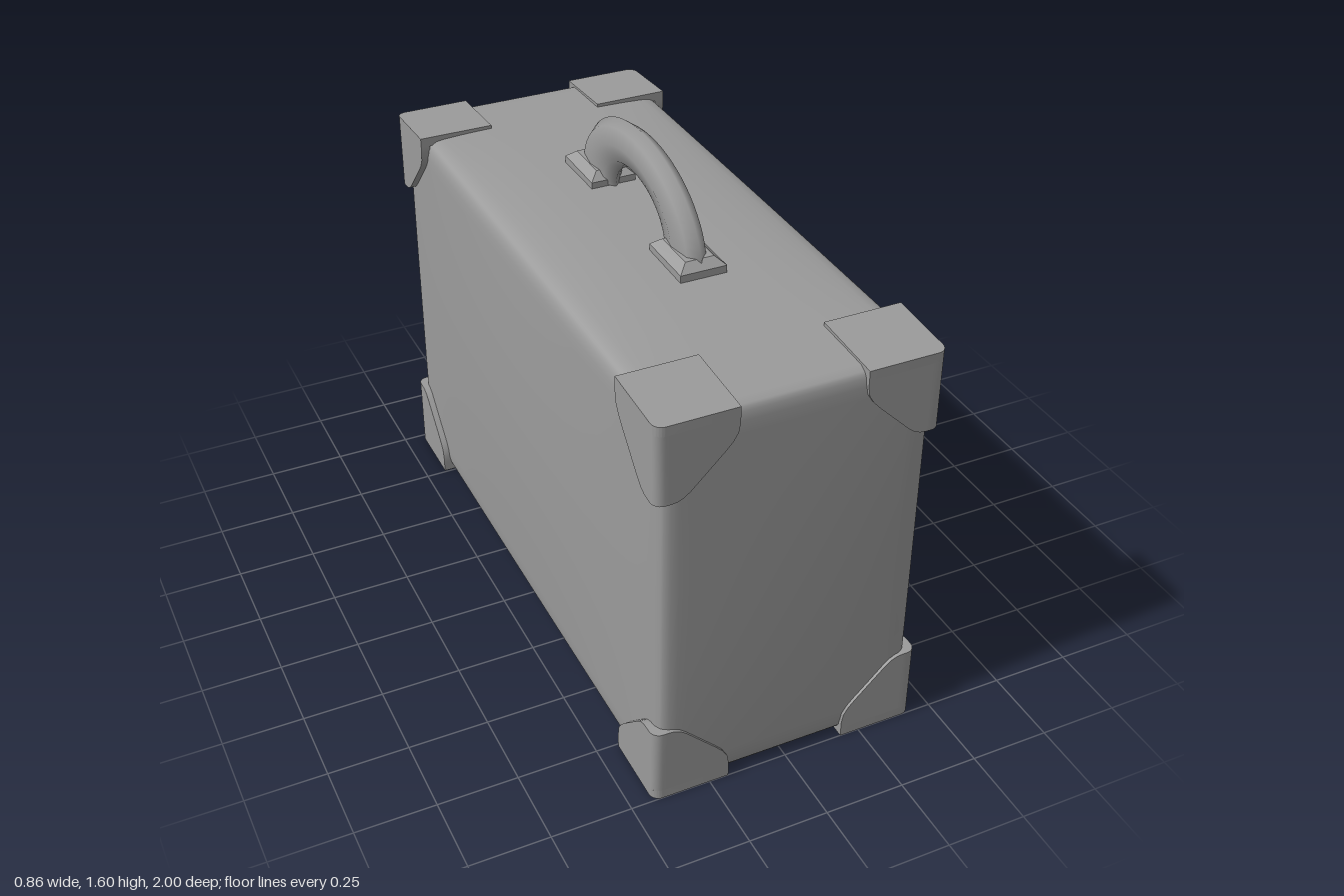
import * as THREE from 'three';
import { mergeGeometries, mergeVertices, toCreasedNormals } from 'three/addons/utils/BufferGeometryUtils.js';

const material = new THREE.MeshStandardMaterial({ color: 0x9b9b9b });
const HX = 0.432, HZ = 1, TOP = 1.31, REACH = 0.243, T = 0.03;

function add(parent, name, geometry) {
  const mesh = new THREE.Mesh(geometry, material);
  mesh.name = name;
  parent.add(mesh);
  return mesh;
}

// Move every vertex of a geometry by a rule
function warp(geometry, rule) {
  const p = geometry.attributes.position, v = new THREE.Vector3();
  for (let i = 0; i < p.count; i++) {
    rule(v.fromBufferAttribute(p, i));
    p.setXYZ(i, v.x, v.y, v.z);
  }
  return geometry;
}

// Rounded case whose faces bulge gently
function caseGeometry() {
  const N = 24, R = 0.042, half = new THREE.Vector3(0.409, 0.648, 0.988);
  const core = half.clone().subScalar(R), coreMin = core.clone().negate();
  const inner = new THREE.Vector3();
  let g = new THREE.BoxGeometry(2, 2, 2, N, N, N);
  g.deleteAttribute('uv');
  g.deleteAttribute('normal');
  warp(g, v => {
    for (const a of ['x', 'y', 'z']) v[a] = Math.sin(v[a] * Math.PI / 2) * half[a];
    inner.copy(v).clamp(coreMin, core);
    v.sub(inner).setLength(R).add(inner);
    const x = v.x / half.x, y = v.y / half.y, z = v.z / half.z;
    const bx = 1 - x * x, by = 1 - y * y, bz = 1 - z * z;
    v.x += x * 0.02 * by * bz;
    v.z += z * 0.011 * bx * by;
    v.y += 0.656 + y * (y > 0 ? 0.025 : 0.008) * bz * (1 - x ** 4);
  });
  g = mergeVertices(g);
  g.computeVertexNormals();
  return g;
}

// Corner guard in (x, z, drop) space: wall wrapped round the corner plus a flat plate
function guardGeometry() {
  const edge = [[REACH, 0.05], [0.238, 0.08], [0.223, 0.105], [0.2, 0.13], [0.105, 0.224],
    [0.085, 0.24], [0.065, 0.248], [0.045, 0.25]];
  const rings = [];
  const ring = (ox, oz, nx, nz, drop) => rings.push([
    [ox, oz, T], [ox, oz, drop], [ox - nx * T, oz - nz * T, drop], [ox - nx * T, oz - nz * T, T]]);
  for (const [d, drop] of edge) ring(HX - d, HZ, 0, 1, drop);
  for (let i = 0; i <= 6; i++) {
    const a = Math.PI / 2 * (1 - i / 6), c = Math.cos(a), s = Math.sin(a);
    ring(HX - T + c * T, HZ - T + s * T, c, s, 0.25);
  }
  for (const [d, drop] of [...edge].reverse()) ring(HX, HZ - d, 1, 0, drop);

  const index = [], at = (i, k) => i * 4 + k % 4, last = rings.length - 1;
  for (let i = 0; i < last; i++) {
    for (let k = 0; k < 4; k++) {
      index.push(at(i, k), at(i, k + 1), at(i + 1, k));
      index.push(at(i + 1, k), at(i, k + 1), at(i + 1, k + 1));
    }
  }
  index.push(0, 2, 1, 0, 3, 2);
  index.push(at(last, 0), at(last, 1), at(last, 2), at(last, 0), at(last, 2), at(last, 3));
  const wall = new THREE.BufferGeometry();
  wall.setAttribute('position', new THREE.Float32BufferAttribute(rings.flat(2), 3));
  wall.setIndex(index);

  const outline = new THREE.Shape();
  outline.moveTo(HX - REACH, HZ - REACH);
  outline.lineTo(HX, HZ - REACH);
  outline.lineTo(HX, HZ - T);
  outline.absarc(HX - T, HZ - T, T, 0, Math.PI / 2);
  outline.lineTo(HX - REACH, HZ);
  outline.closePath();
  const plate = new THREE.ExtrudeGeometry(outline, { depth: T, bevelEnabled: false, curveSegments: 6 });
  plate.deleteAttribute('uv');
  plate.deleteAttribute('normal');
  return mergeGeometries([wall.toNonIndexed(), plate]);
}

// Put a guard on one of the eight corners, turning the faces where it is mirrored
function placeGuard(base, sx, upper, sz) {
  const g = warp(base.clone(), v => {
    const [x, z, drop] = v.toArray();
    v.set(sx * x, upper ? TOP - drop + 0.06 * (HZ - z) : drop, sz * z);
  });
  if (sx * sz * (upper ? 1 : -1) < 0) {
    const a = g.attributes.position.array;
    for (let i = 0; i < a.length; i += 9) {
      for (let k = 0; k < 3; k++) [a[i + 3 + k], a[i + 6 + k]] = [a[i + 6 + k], a[i + 3 + k]];
    }
  }
  return toCreasedNormals(g, 0.6);
}

export function createModel() {
  const model = new THREE.Group();
  model.name = 'suitcase';
  add(model, 'case', caseGeometry());

  // Corner guards
  const guard = guardGeometry();
  for (const sx of [-1, 1]) for (const sz of [-1, 1]) for (const upper of [false, true]) {
    const name = `${upper ? 'upper' : 'lower'}${sz > 0 ? 'Front' : 'Back'}${sx > 0 ? 'Left' : 'Right'}Guard`;
    add(model, name, placeGuard(guard, sx, upper, sz));
  }

  // Arched handle: half a ring, stretched lengthwise and flattened sideways
  const handle = new THREE.Group();
  handle.name = 'handle';
  model.add(handle);
  const grip = add(handle, 'grip', new THREE.TorusGeometry(0.195, 0.07, 8, 32, Math.PI));
  grip.rotation.y = Math.PI / 2;
  grip.scale.set(1.5, 1, 0.61);
  grip.position.y = 1.33;

  // Handle feet: a flat base with a tapered top
  for (const s of [-1, 1]) {
    const foot = new THREE.Group();
    foot.name = s > 0 ? 'frontFoot' : 'backFoot';
    foot.position.z = s * 0.308;
    handle.add(foot);
    add(foot, 'footBase', new THREE.BoxGeometry(0.146, 0.032, 0.204)).position.y = 1.332;
    const taper = warp(new THREE.BoxGeometry(0.146, 0.024, 0.204), v => {
      if (v.y > 0) { v.x *= 0.62; v.z *= 0.73; }
    }).toNonIndexed();
    taper.computeVertexNormals();
    add(foot, 'footTaper', taper).position.y = 1.36;
  }
  return model;
}
